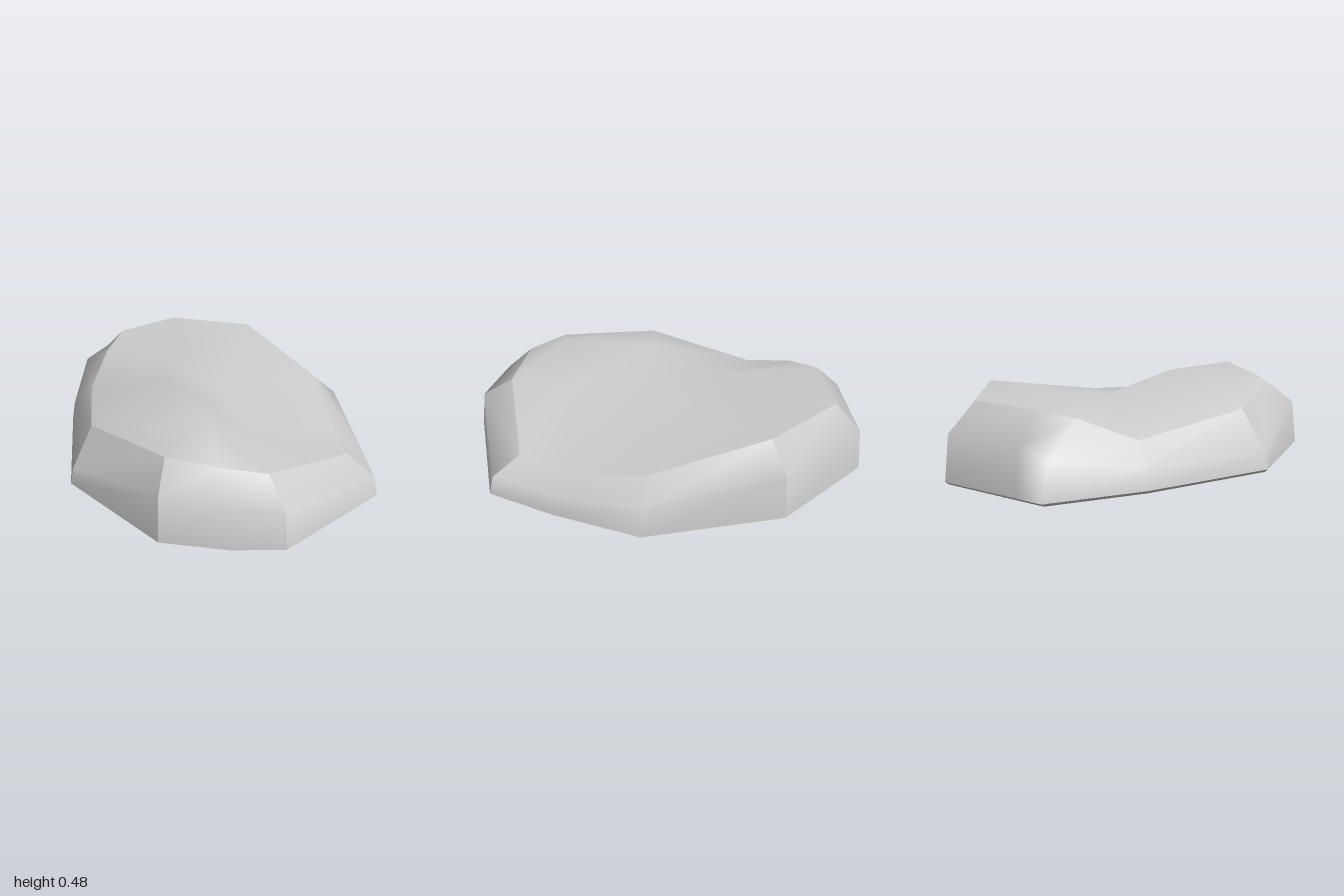
import * as THREE from 'three';

// Columns around the boulder, clockwise from above:
// base x, base z, shoulder height, rim x, rim y, rim z
const columns = [
  [-0.23, -1.0, 0.19, -0.2, 0.335, -0.715],
  [-0.08, -0.995, 0.24, -0.04, 0.38, -0.83],
  [0.38, -0.98, 0.24, 0.32, 0.385, -0.83],
  [0.72, -0.51, 0.25, 0.61, 0.41, -0.44],
  [0.79, 0.19, 0.18, 0.66, 0.28, 0.15],
  [0.6, 0.6, 0.12, 0.5, 0.17, 0.5],
  [0.42, 0.91, 0.13, 0.35, 0.21, 0.75],
  [-0.21, 1.0, 0.22, -0.18, 0.32, 0.81],
  [-0.42, 0.87, 0.26, -0.4, 0.38, 0.71],
  [-0.66, 0.65, 0.27, -0.54, 0.38, 0.52],
  [-0.79, 0.01, 0.12, -0.65, 0.32, 0.0],
  [-0.5, -0.6, 0.13, -0.4, 0.23, -0.53],
];

// Ridge and hollow points inside the rim (indices 12 to 16)
const innerPoints = [
  [-0.3, 0.48, 0.51], [-0.21, 0.475, 0.05], [-0.06, 0.33, 0.5],
  [0.05, 0.34, 0.05], [-0.03, 0.372, -0.28],
];

// Top surface triangles, clockwise from above
const topFaces = [
  [16, 0, 1], [16, 1, 2], [16, 2, 3], [16, 3, 15], [15, 3, 4],
  [15, 4, 14], [14, 4, 5], [14, 5, 6], [14, 6, 7], [14, 7, 12],
  [12, 7, 8], [12, 8, 9], [12, 9, 10], [12, 10, 13], [13, 10, 11],
  [13, 11, 16], [16, 11, 0], [13, 16, 15], [13, 15, 14], [13, 14, 12],
];

const creases = [2, 3, 6, 7, 9, 10, 14];
const material = new THREE.MeshStandardMaterial({ color: 0xcccccc, side: THREE.DoubleSide });

function surface(name, points, triangles, flip = false) {
  const geometry = new THREE.BufferGeometry();
  geometry.setAttribute('position', new THREE.Float32BufferAttribute(points.flat(), 3));
  geometry.setIndex(triangles.flatMap(([a, b, c]) => (flip ? [a, c, b] : [a, b, c])));
  geometry.computeVertexNormals();
  const mesh = new THREE.Mesh(geometry, material);
  mesh.name = name;
  return mesh;
}

// Outer skin stays put; the inner skin is pulled in and down
const pull = ([x, y, z], inner, drop) =>
  (inner ? [x * 0.96, y - drop, z * 0.96] : [x, y, z]);

// Base, shoulder and rim point of one column
function columnPoints([bx, bz, shoulderY, rx, ry, rz], inner) {
  const baseY = 0.016 - 0.01 * bx + 0.01 * bz;
  const inset = 0.15;
  return [
    pull([bx, baseY + 0.012, bz], inner, 0.012),
    pull([bx + (rx - bx) * inset, shoulderY, bz + (rz - bz) * inset], inner, 0.02),
    pull([rx, ry, rz], inner, 0.04),
  ];
}

// Two triangles per cell of a strip with the given number of rows
function stripTriangles(steps, rows) {
  const triangles = [];
  for (let i = 0; i < steps; i++) {
    for (let row = 0; row < rows - 1; row++) {
      const a = i * rows + row;
      const b = a + rows;
      triangles.push([b, a, a + 1], [b, a + 1, b + 1]);
    }
  }
  return triangles;
}

// Smooth wall strip between two sharp columns
function wallStrip(name, from, to, inner) {
  const points = [];
  for (let i = from; i <= to; i++) {
    points.push(...columnPoints(columns[i % columns.length], inner));
  }
  return surface(name, points, stripTriangles(to - from, 3), inner);
}

// Narrow bevelled lip joining both skins underneath
function bottomLip() {
  const points = [];
  for (let i = 0; i <= columns.length; i++) {
    const column = columns[i % columns.length];
    const [x, y, z] = columnPoints(column, false)[0];
    points.push(columnPoints(column, true)[0], [x * 0.98, y - 0.015, z * 0.98], [x, y, z]);
  }
  return surface('bottomLip', points, stripTriangles(columns.length, 3));
}

// Sides and uneven top of one skin
function skin(name, inner) {
  const group = new THREE.Group();
  group.name = name;
  for (let i = 0; i < creases.length - 1; i++) {
    group.add(wallStrip('sideWall', creases[i], creases[i + 1], inner));
  }
  const rim = columns.map((c) => c.slice(3));
  const points = [...rim, ...innerPoints].map((p) => pull(p, inner, 0.04));
  group.add(surface('topSurface', points, topFaces, !inner));
  return group;
}

export function createModel() {
  const boulder = new THREE.Group();
  boulder.name = 'boulder';
  boulder.add(skin('outerSkin', false), skin('innerSkin', true), bottomLip());
  return boulder;
}
